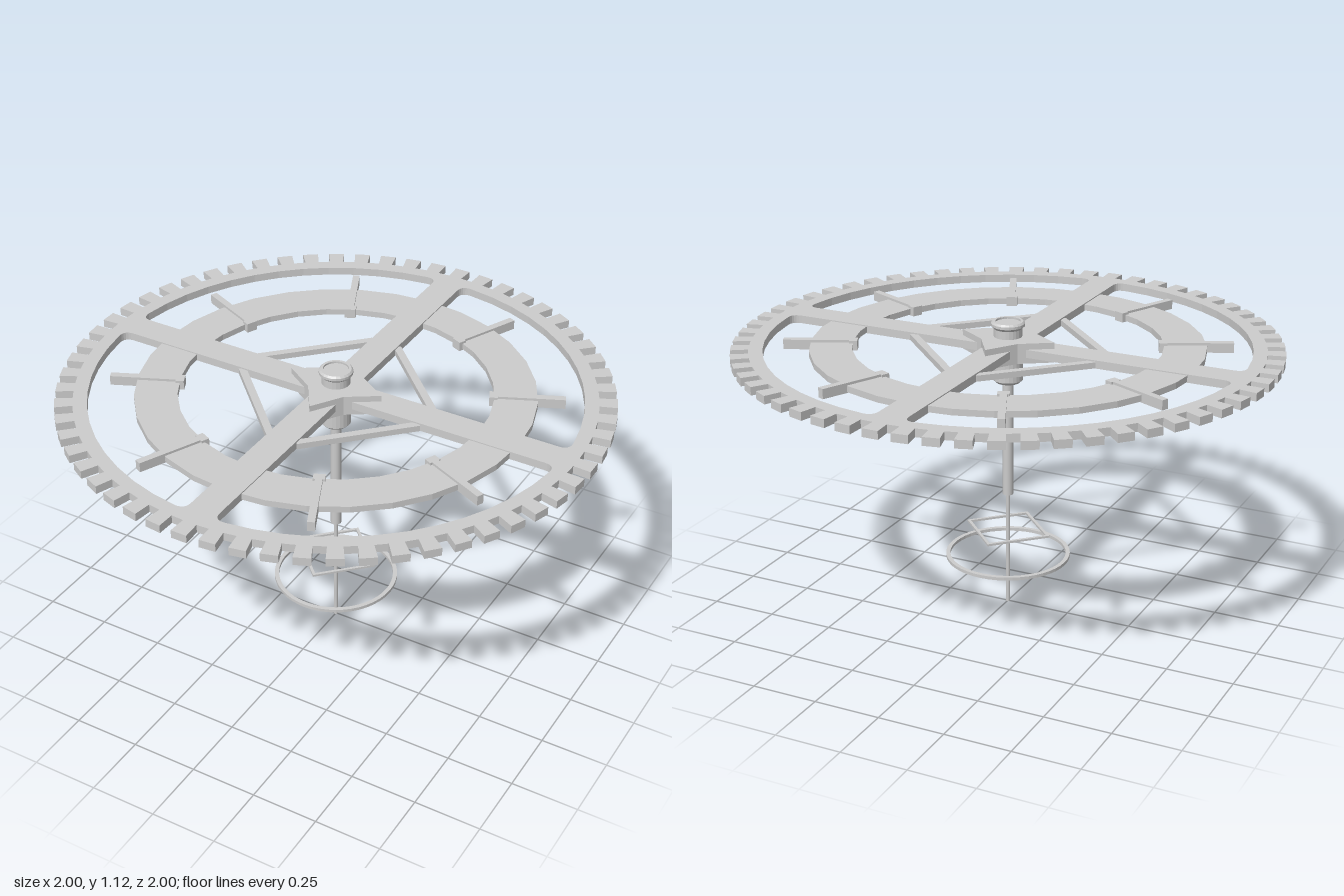
import * as THREE from 'three';

const material = new THREE.MeshStandardMaterial({ color: 0xcccccc });
const flat = new THREE.MeshStandardMaterial({ color: 0xcccccc, flatShading: true });

// Horizontal plate: a shape laid flat between heights y0 and y1
function plate(shape, y0, y1, segments = 8) {
  const g = new THREE.ExtrudeGeometry(shape, { depth: y1 - y0, bevelEnabled: false, curveSegments: segments });
  return g.rotateX(-Math.PI / 2).translate(0, y0, 0);
}

function add(parent, name, geometry, mat = flat) {
  const mesh = new THREE.Mesh(geometry, mat);
  mesh.name = name;
  parent.add(mesh);
  return mesh;
}

// Closed polygon with radii alternating through the given list
function polygon(count, radii) {
  return Array.from({ length: count }, (_, i) => {
    const a = (i / count) * Math.PI * 2, r = radii[i % radii.length];
    return new THREE.Vector2(r * Math.cos(a), r * Math.sin(a));
  });
}

function ringShape(outer, inner) {
  const shape = new THREE.Shape(outer);
  shape.holes.push(new THREE.Path(inner));
  return shape;
}

// Toothed rim and four spokes in one plate, with four filleted openings
function wheelShape() {
  const teeth = 60, root = 0.935, half = 0.03, outline = [];
  for (let i = 0; i < teeth; i++) {
    const a = (i / teeth) * Math.PI * 2;
    for (const [r, t] of [[root, -0.026], [1, -half], [1, half], [root, 0.026]]) {
      outline.push(new THREE.Vector2(r, t).rotateAround(new THREE.Vector2(), a));
    }
  }
  const shape = new THREE.Shape(outline);
  const R = 0.885, w = 0.056, f = 0.04;
  const a = Math.asin(w / R), b = a + f / R, x = R * Math.cos(a);
  const opening = new THREE.Path();
  opening.moveTo(w, w);
  opening.lineTo(x - f, w);
  opening.quadraticCurveTo(x, w, R * Math.cos(b), R * Math.sin(b));
  opening.absarc(0, 0, R, b, Math.PI / 2 - b, false);
  opening.quadraticCurveTo(w, x, w, x - f);
  const points = opening.getPoints(6);
  for (let k = 0; k < 4; k++) {
    shape.holes.push(new THREE.Path(points.map(p => p.clone().rotateAround(new THREE.Vector2(), k * Math.PI / 2))));
  }
  return shape;
}

export function createModel() {
  const model = new THREE.Group();
  model.name = 'gearWheelOnShaft';

  // Wheel
  add(model, 'toothedWheel', plate(wheelShape(), 1.012, 1.042));
  add(model, 'innerRing', plate(ringShape(polygon(32, [0.72]), polygon(32, [0.565])), 1.015, 1.038));

  // Diagonal braces between the spokes
  for (let k = 0; k < 4; k++) {
    const brace = add(model, 'diagonalBrace', new THREE.BoxGeometry(0.028, 0.022, 0.44));
    const a = Math.PI / 4 + k * Math.PI / 2, d = 0.415 / Math.SQRT2;
    brace.position.set(d * Math.cos(a), 1.026, d * Math.sin(a));
    brace.rotation.y = -a;
  }

  // Radial clips straddling the inner ring, mirrored in each quadrant
  for (let k = 0; k < 4; k++) {
    for (const s of [-1, 1]) {
      const clip = new THREE.Group();
      clip.name = 'radialClip';
      add(clip, 'clipBar', new THREE.BoxGeometry(0.265, 0.036, 0.026)).position.set(0.685, 1.029, 0);
      add(clip, 'clipFoot', new THREE.BoxGeometry(0.03, 0.036, 0.042)).position.set(0.562, 1.029, 0);
      clip.rotation.y = k * Math.PI / 2 + s * THREE.MathUtils.degToRad(24.5);
      model.add(clip);
    }
  }

  // Hub
  add(model, 'hubStar', plate(new THREE.Shape(polygon(8, [0.185, 0.103])), 0.99, 1.065));
  const turned = (name, profile) => add(model, name,
    new THREE.LatheGeometry(profile.map(p => new THREE.Vector2(...p)), 24), flat);
  turned('lowerCollar', [[0, 0.89], [0.045, 0.89], [0.055, 0.9], [0.055, 1]]);
  turned('hubCap', [[0.052, 1.06], [0.052, 1.095], [0.062, 1.105], [0.062, 1.115],
    [0.056, 1.122], [0.046, 1.122], [0.046, 1.115], [0, 1.115]]);

  // Shaft
  add(model, 'upperShaft', new THREE.CylinderGeometry(0.02, 0.02, 0.455, 16), material).position.y = 0.6725;
  add(model, 'lowerRod', new THREE.CylinderGeometry(0.008, 0.008, 0.46, 12), material).position.y = 0.23;

  // Thin frames around the rod
  add(model, 'squareFrame', plate(ringShape(polygon(4, [0.172]), polygon(4, [0.157])), 0.297, 0.305));
  add(model, 'roundFrame', plate(ringShape(polygon(48, [0.235]), polygon(48, [0.219])), 0.195, 0.207));

  return model;
}
